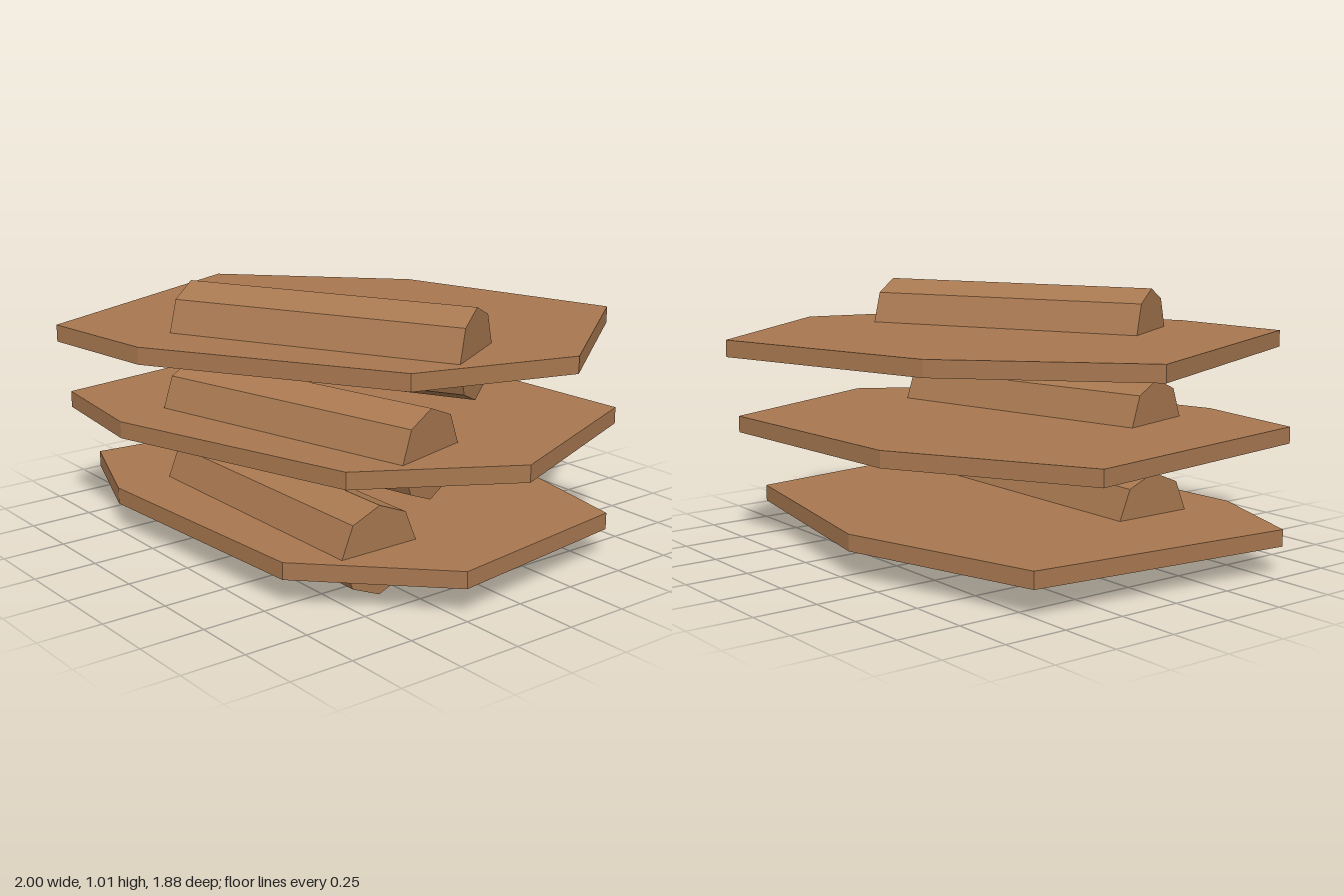
import * as THREE from 'three';

const LAYERS = 3;
const RADIUS = 0.169; // log radius
const TWIST = 0.25; // turn of each layer, radians

// Irregular seven-sided outline of a board, as (x, z)
const OUTLINE = [
  [1.027, 0.229], [0.572, 0.683], [-0.457, 0.741], [-0.914, 0.568],
  [-0.8, -0.517], [0.004, -0.742], [0.916, -0.572],
];

export function createModel() {
  const wood = new THREE.MeshStandardMaterial({ color: 0xa87850, flatShading: true });
  wood.name = 'brown wood';

  // Flat board whose top lies at the height of the log's axis
  const boardShape = new THREE.Shape(OUTLINE.map(([x, z]) => new THREE.Vector2(x, z)));
  const boardGeo = new THREE.ExtrudeGeometry(boardShape, { depth: 0.065, bevelEnabled: false });
  boardGeo.rotateX(Math.PI / 2);

  // Eight-sided log lying along x
  const logGeo = new THREE.CylinderGeometry(RADIUS, RADIUS, 1.14, 8);
  logGeo.rotateZ(Math.PI / 2);

  const model = new THREE.Group();
  model.name = 'stackedBoards';

  // Each layer is the same board and log, turned a little further
  for (let i = 0; i < LAYERS; i++) {
    const layer = new THREE.Group();
    layer.name = `layer${i + 1}`;

    const board = new THREE.Mesh(boardGeo, wood);
    board.name = 'board';
    board.position.y = 0.002;

    const log = new THREE.Mesh(logGeo, wood);
    log.name = 'log';
    log.position.set(0.114, 0, 0.34);

    layer.add(board, log);
    layer.position.set(-0.054, RADIUS + i * RADIUS * 2, 0);
    layer.rotation.y = i * TWIST;
    model.add(layer);
  }
  return model;
}
